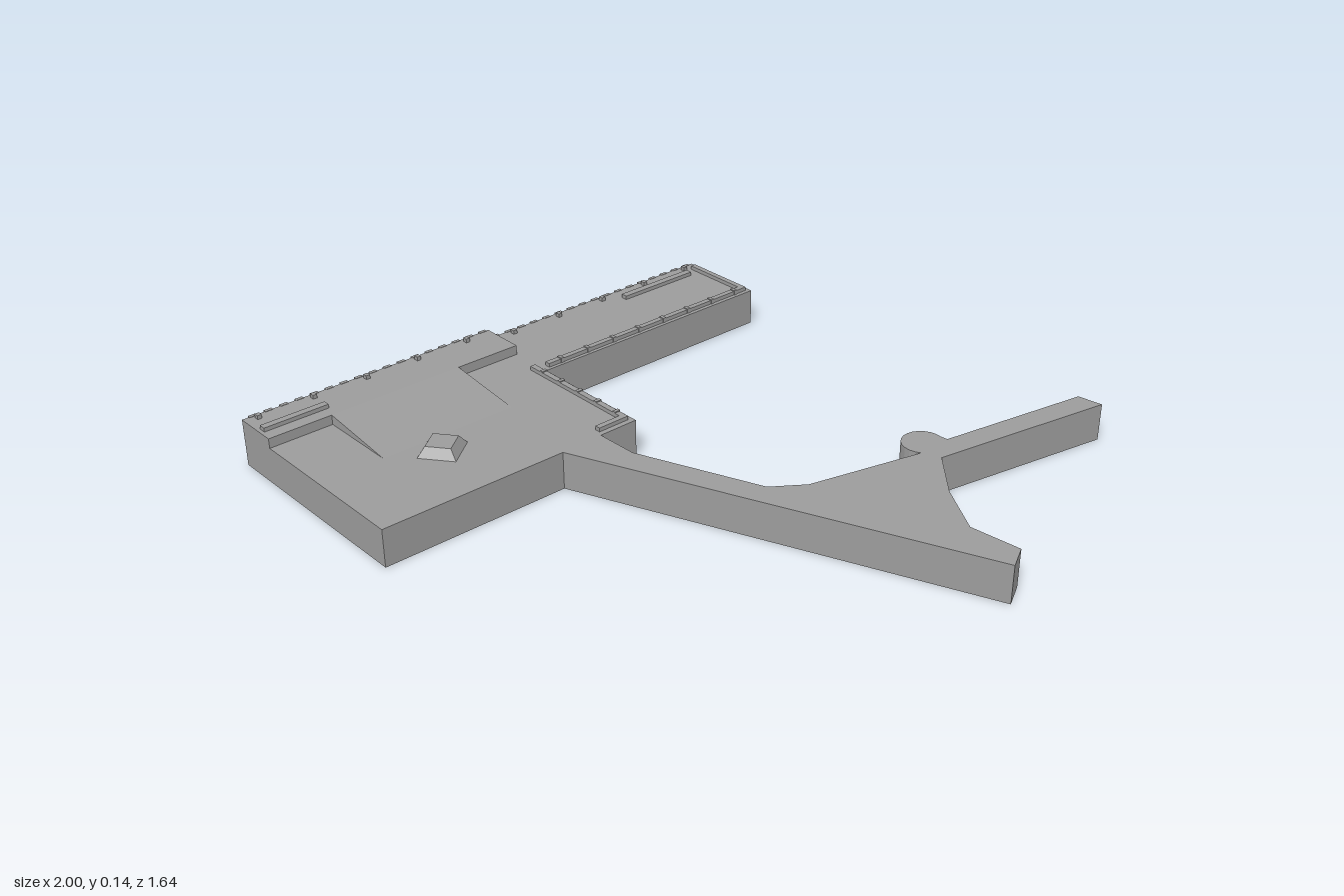
import * as THREE from 'three';

const DECK = 0.104, HIGH = 0.131;
const material = new THREE.MeshStandardMaterial({ color: 0x9c9c9c, flatShading: true, side: THREE.DoubleSide });

// Block frame: u runs along the long left edge, v runs inward from it
const P = (u, v) => [-1 + 0.454 * u + 0.891 * v, 0.532 - 0.891 * u + 0.454 * v];

function add(parent, name, geometry) {
  const mesh = new THREE.Mesh(geometry, material);
  mesh.name = name;
  parent.add(mesh);
  return mesh;
}

// Flat horizontal plate from [x, z] points
function plate(points, y) {
  const shape = new THREE.Shape(points.map(([x, z]) => new THREE.Vector2(x, -z)));
  return new THREE.ShapeGeometry(shape).rotateX(-Math.PI / 2).translate(0, y, 0);
}

// Vertical wall following [x, z] points
function wall(points, y0, y1, closed) {
  const pos = [];
  const count = closed ? points.length : points.length - 1;
  for (let i = 0; i < count; i++) {
    const [ax, az] = points[i], [bx, bz] = points[(i + 1) % points.length];
    pos.push(ax, y0, az, ax, y1, az, bx, y1, bz, ax, y0, az, bx, y1, bz, bx, y0, bz);
  }
  return soup(pos);
}

function soup(pos) {
  const g = new THREE.BufferGeometry();
  g.setAttribute('position', new THREE.Float32BufferAttribute(pos, 3));
  g.computeVertexNormals();
  return g;
}

export function createModel() {
  const model = new THREE.Group();
  model.name = 'fortifiedBlock';

  // Rounded knob on the branching arm
  const knob = [];
  for (let i = 0; i <= 14; i++) {
    const a = THREE.MathUtils.degToRad(80 + (230 * i) / 14);
    knob.push([0.614 + 0.055 * Math.cos(a), -0.012 + 0.055 * Math.sin(a)]);
  }

  // Outline shared by the walls and the deck, from the far left corner to the front left one
  const outline = [
    P(1.523, 0), P(1.523, 0.262), P(0.762, 0.26), P(0.762, 0.628), P(0.647, 0.628),
    [-0.04, 0.292], [0.32, 0.328], [0.41, 0.282], ...knob,
    [0.668, -0.047], [0.935, -0.388], [0.9999, -0.366], [0.676, 0.047], [0.73, 0.195], [0.81, 0.33],
    [0.937, 0.379], [0.937, 0.45], [-0.2, 0.352], P(0, 0.628),
  ];
  const base = new THREE.Group();
  base.name = 'base';
  model.add(base);
  add(base, 'outerWall', wall([...outline, P(0, 0)], 0, DECK, true));
  add(base, 'deck', plate([
    ...outline, P(0, 0.13), P(0.18, 0.13), P(0.18, 0.36), P(0.57, 0.36),
    P(0.57, 0.13), P(0.762, 0.13), P(0.762, 0),
  ], DECK));

  // Raised platform along the left edge, open toward the ramp
  const platform = new THREE.Group();
  platform.name = 'raisedPlatform';
  model.add(platform);
  add(platform, 'platformTop', plate([P(0, 0), P(0, 0.13), P(0.762, 0.13), P(0.762, 0)], HIGH));
  add(platform, 'platformWall', wall(
    [P(0.18, 0.13), P(0, 0.13), P(0, 0), P(0.762, 0), P(0.762, 0.13), P(0.57, 0.13)], DECK, HIGH, false));

  // Ramp with triangular cheeks
  const at = (u, v, y) => { const [x, z] = P(u, v); return [x, y, z]; };
  const topA = at(0.18, 0.13, HIGH), topB = at(0.57, 0.13, HIGH);
  const lowA = at(0.18, 0.36, DECK), lowB = at(0.57, 0.36, DECK);
  const footA = at(0.18, 0.13, DECK), footB = at(0.57, 0.13, DECK);
  add(platform, 'ramp', soup([
    topA, lowA, lowB, topA, lowB, topB, footA, lowA, topA, footB, topB, lowB,
  ].flat()));

  // Small fittings, placed in the block frame: local x is v, local -z is u
  const fittings = new THREE.Group();
  fittings.name = 'fittings';
  fittings.position.set(-1, 0, 0.532);
  fittings.rotation.y = -Math.atan2(0.454, 0.891);
  model.add(fittings);
  const box = (name, u0, u1, v0, v1, y0, y1) => add(fittings, name,
    new THREE.BoxGeometry(v1 - v0, y1 - y0, u1 - u0)
      .translate((v0 + v1) / 2, (y0 + y1) / 2, -(u0 + u1) / 2));

  // Low kerbs inside the inner edges
  const kerbTop = DECK + 0.011;
  box('sideKerb', 0.78, 1.495, 0.234, 0.25, DECK, kerbTop);
  box('endKerb', 1.495, 1.511, 0.03, 0.25, DECK, kerbTop);
  box('innerKerb', 0.733, 0.749, 0.228, 0.613, DECK, kerbTop);
  box('shortKerb', 0.655, 0.733, 0.597, 0.613, DECK, kerbTop);

  // Studs spaced along the kerbs
  for (let i = 0; i < 8; i++) {
    const u = 0.82 + i * 0.092;
    box('kerbStud', u, u + 0.01, 0.234, 0.252, DECK, kerbTop + 0.003);
  }
  for (let i = 0; i < 5; i++) {
    const v = 0.27 + i * 0.075;
    box('kerbStud', 0.733, 0.751, v, v + 0.01, DECK, kerbTop + 0.003);
  }

  // Long narrow benches
  box('farBench', 1.21, 1.465, 0.043, 0.063, DECK, DECK + 0.011);
  box('nearBench', 0.01, 0.195, 0.073, 0.093, HIGH, HIGH + 0.011);

  // Teeth along the long left edge, every second one on the platform hanging lower
  for (let i = 0; i < 34; i++) {
    const u = 0.02 + i * 0.0445, raised = u < 0.75;
    const top = raised ? HIGH : DECK;
    const drop = raised && i % 2 ? 0.03 : 0.008;
    box('edgeTooth', u, u + 0.022, -0.006, 0.004, top - drop, top + 0.001);
  }

  // Small posts behind the teeth
  for (let i = 0; i < 10; i++) {
    const u = 0.03 + i * 0.16, top = u < 0.74 ? HIGH : DECK;
    box('edgePost', u, u + 0.012, 0.012, 0.026, top, top + 0.011);
  }

  // Square tapered hatch on the deck
  const hatch = add(model, 'hatch',
    new THREE.CylinderGeometry(0.047, 0.07, 0.026, 4).rotateY(Math.PI / 4));
  hatch.position.set(-0.482, DECK + 0.013, 0.447);
  hatch.rotation.y = 0.19;

  return model;
}
